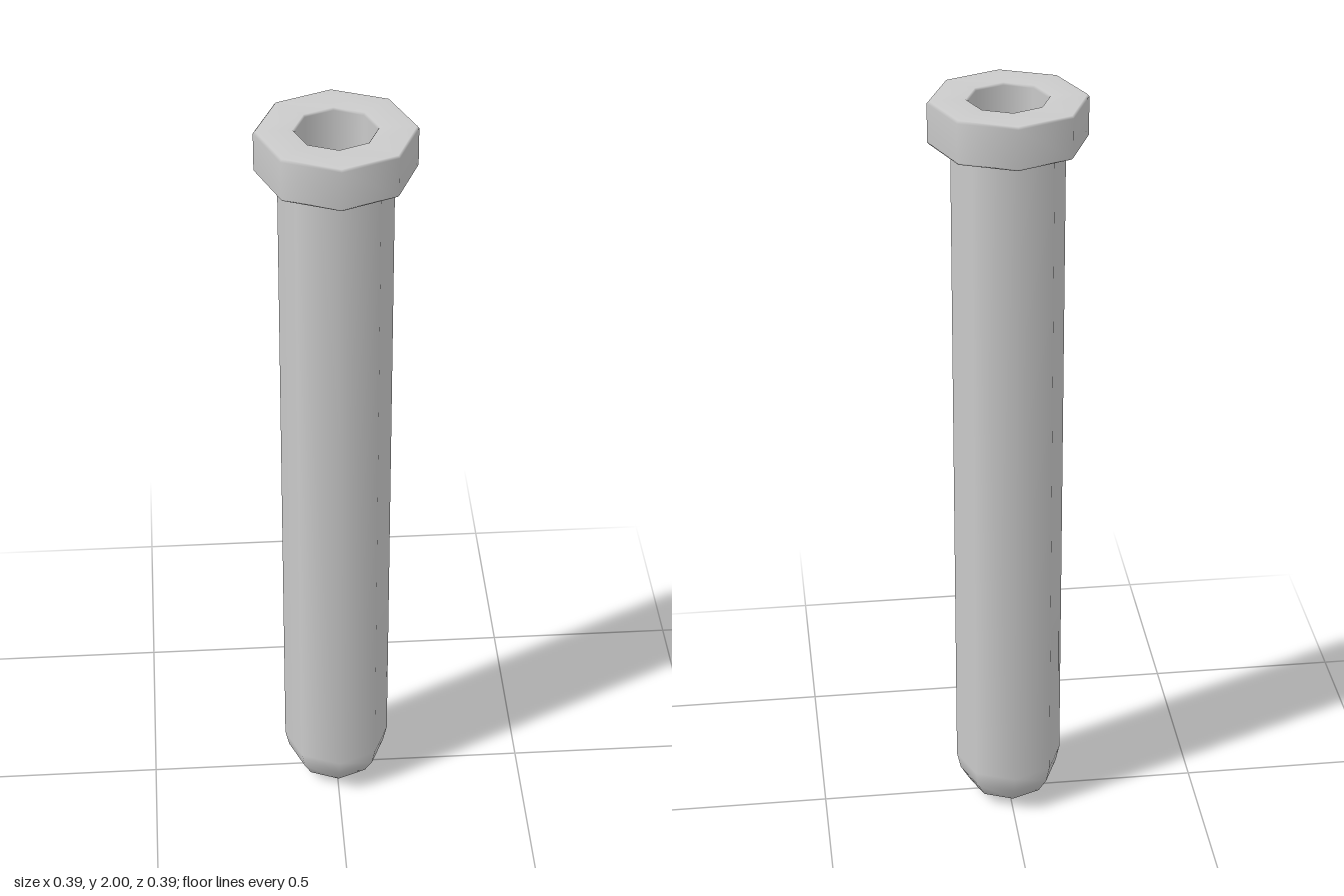
import * as THREE from 'three';

export function createModel() {
  const group = new THREE.Group();
  group.name = 'testTube';
  const material = new THREE.MeshStandardMaterial({ color: 0xcccccc });

  // One closed eight-sided wall: outside upwards, over the rim, inside down
  const profile = [
    // rounded bottom
    [0, 0], [0.03, 0.004], [0.105, 0.033], [0.13, 0.075], [0.14, 0.12],
    // outer wall and underside of the rim
    [0.14, 1.885], [0.146, 1.89], [0.19, 1.89],
    // rim
    [0.195, 1.896], [0.195, 1.994], [0.19, 2], [0.102, 2], [0.098, 1.994],
    // inner wall and rounded floor
    [0.098, 0.13], [0.09, 0.095], [0.07, 0.065], [0, 0.042],
  ].map(([r, y]) => new THREE.Vector2(r, y));

  const tube = new THREE.Mesh(new THREE.LatheGeometry(profile, 8), material);
  tube.name = 'tubeWithRim';
  group.add(tube);
  return group;
}
